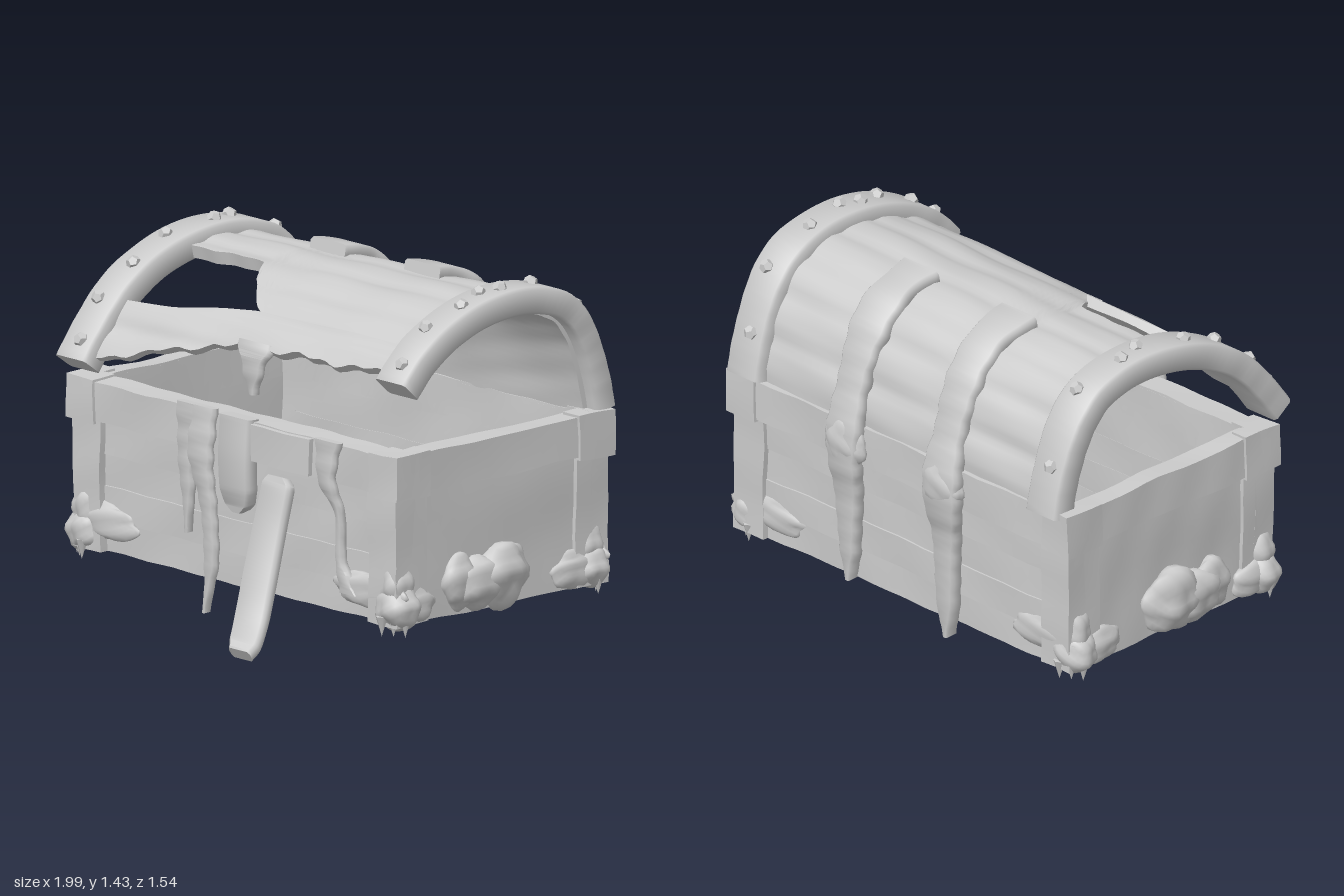
import * as THREE from 'three';
import { mergeVertices, toCreasedNormals } from 'three/addons/utils/BufferGeometryUtils.js';

const V = (x, y, z) => new THREE.Vector3(x, y, z);
const lerp = THREE.MathUtils.lerp;
const noise = (x, y, z) =>
  (Math.sin(11 * x + 5 * y + 3 * z) + Math.sin(23 * y - 9 * x + 1.7) + Math.sin(19 * z + 14 * x + 0.6)) / 3;

// piecewise-linear lookup in [[x, value], ...]
function interp(table, x) {
  for (let i = 1; i < table.length; i++) {
    const [a, va] = table[i - 1], [b, vb] = table[i];
    if (x <= b) return lerp(va, vb, THREE.MathUtils.clamp((x - a) / (b - a), 0, 1));
  }
  return table[table.length - 1][1];
}

// closed solid through matching cross-sections, capped at both ends
function loft(sections, crease = 0.6) {
  const n = sections[0].length, pts = sections.flat(), idx = [];
  const last = (sections.length - 1) * n;
  for (let i = 0; i < sections.length - 1; i++)
    for (let j = 0; j < n; j++) {
      const a = i * n + j, b = i * n + (j + 1) % n;
      idx.push(a, b, b + n, a, b + n, a + n);
    }
  for (let j = 0; j < n / 2 - 1; j++) {
    const q = [j, j + 1, n - 2 - j, n - 1 - j];
    idx.push(q[0], q[2], q[1], q[0], q[3], q[2]);
    idx.push(last + q[0], last + q[1], last + q[2], last + q[0], last + q[2], last + q[3]);
  }
  let volume = 0;
  const c = pts[0], w = V(0, 0, 0);
  for (let i = 0; i < idx.length; i += 3) {
    const [p, q, r] = [0, 1, 2].map(k => pts[idx[i + k]].clone().sub(c));
    volume += p.dot(w.crossVectors(q, r));
  }
  if (volume < 0) idx.reverse();
  const g = new THREE.BufferGeometry().setFromPoints(pts);
  g.setIndex(idx);
  return toCreasedNormals(g, crease);
}

// bevelled band along [x, y, z, halfWidth] points; outward is up-and-over from back to front
function ribbon(points, inner, outer, rough = 0, steps = 32) {
  const path = new THREE.CatmullRomCurve3(points.map(p => V(p[0], p[1], p[2])));
  const widths = points.map((q, k) => [k / (points.length - 1), q[3]]);
  const sections = [];
  for (let i = 0; i <= steps; i++) {
    const t = i / steps, p = path.getPoint(t), d = path.getTangent(t);
    const len = Math.hypot(d.y, d.z) || 1, ny = d.z / len, nz = -d.y / len;
    const hw = interp(widths, t) * (1 + rough * noise(p.x * 3, p.y * 3, p.z));
    const b = Math.min(0.012, hw * 0.5);
    sections.push([
      [-hw, outer - b], [-hw + b, outer], [hw - b, outer], [hw, outer - b],
      [hw, inner + b], [hw - b, inner], [-hw + b, inner], [-hw, inner + b],
    ].map(([u, v]) => V(p.x + u, p.y + ny * v, p.z + nz * v)));
  }
  return loft(sections, 0.9);
}

// box between two corners with a weathered surface
function wornBox(a, b, wear = 0.007) {
  const s = b.map((v, i) => v - a[i]);
  const g = new THREE.BoxGeometry(...s, ...s.map(v => Math.max(1, Math.round(v / 0.07))));
  g.translate((a[0] + b[0]) / 2, (a[1] + b[1]) / 2, (a[2] + b[2]) / 2);
  const p = g.attributes.position;
  for (let i = 0; i < p.count; i++) {
    const [x, y, z] = [p.getX(i), p.getY(i), p.getZ(i)];
    p.setXYZ(i, x + wear * noise(y, z, x), y + wear * noise(z, x, y), z + wear * noise(x, y, z));
  }
  g.computeVertexNormals();
  return g;
}

// encrusted lump
function lump(center, size, rough = 0.16) {
  let g = new THREE.IcosahedronGeometry(1, 4);
  g.deleteAttribute('normal');
  g.deleteAttribute('uv');
  g = mergeVertices(g);
  const p = g.attributes.position, v = V(0, 0, 0);
  for (let i = 0; i < p.count; i++) {
    v.fromBufferAttribute(p, i);
    v.multiplyScalar(1 + rough * noise(v.x * 0.32 + center[0], v.y * 0.32 + center[2], v.z * 0.32));
    p.setXYZ(i, center[0] + v.x * size[0], center[1] + v.y * size[1], center[2] + v.z * size[2]);
  }
  g.computeVertexNormals();
  return g;
}

// lid arch from back hinge to front lip, sagging slightly at one end
const arch = new THREE.CatmullRomCurve3([
  [-0.695, 0.86], [-0.665, 1.0], [-0.585, 1.2], [-0.485, 1.31], [-0.345, 1.36],
  [-0.165, 1.37], [0.035, 1.33], [0.235, 1.23], [0.375, 1.09], [0.48, 0.95]].map(([z, y]) => V(0, y, z)));
function lidPoint(s, x, off) {
  const p = arch.getPointAt(s), d = arch.getTangentAt(s);
  return V(x, p.y + d.z * off - 0.03 * (0.88 - x) / 1.75, p.z - d.y * off);
}

// planked piece of the lid between two edges
function lidShell(from, to, rows) {
  const sections = [], cols = 56;
  for (let i = 0; i <= cols; i++) {
    const x = lerp(-0.85, 0.87, i / cols), outer = [], inner = [];
    for (let j = 0; j <= rows; j++) {
      const s = Math.min(1, lerp(from(x), to(x), j / rows));
      const groove = 0.012 * Math.pow(Math.abs(Math.cos(s * 9 * Math.PI)), 6);
      const thick = interp([[0, 0.09], [0.35, 0.08], [0.55, 0.055], [0.8, 0.045], [1, 0.03]], s);
      outer.push(lidPoint(s, x, 0.006 * noise(x, s * 2, 1) - groove));
      inner.unshift(lidPoint(s, x, -thick + 0.005 * noise(x, s * 3, 2)));
    }
    sections.push([...outer, ...inner]);
  }
  return loft(sections, 0.7);
}

export function createModel() {
  const model = new THREE.Group();
  model.name = 'brokenChest';
  const chest = new THREE.Group();
  chest.name = 'turnedChest';
  chest.rotation.y = 0.04;
  model.add(chest);
  const wood = new THREE.MeshStandardMaterial({ color: 0xcccccc });
  wood.name = 'palegrey';
  const add = (name, g) => {
    const m = new THREE.Mesh(g, wood);
    m.name = name;
    chest.add(m);
  };

  // body: floor, front and back planks
  add('floor', wornBox([-0.88, 0.17, -0.655], [0.89, 0.22, 0.395], 0.004));
  for (let i = 0; i < 4; i++) {
    const y = 0.17 + i * 0.13, out = [0, 0.008, 0.002, 0.009][i], top = i === 3 ? 0.84 : y + 0.129;
    add('frontPlank', wornBox([-0.88, y, 0.33], [0.885, top, 0.398 + out], 0.006));
    add('backPlank', wornBox([-0.88, y, -0.664 - out], [0.885, top, -0.6], 0.006));
  }

  // rim band, end walls and corner plates
  add('frontRim', wornBox([-0.91, 0.69, 0.33], [0.92, 0.85, 0.437]));
  add('backRim', wornBox([-0.91, 0.69, -0.7], [0.92, 0.85, -0.6]));
  for (const sx of [-1, 1]) {
    const inset = sx < 0 ? 0.012 : 0;
    const span = (a, b) => [Math.min(sx * a, sx * (b - inset)), Math.max(sx * a, sx * (b - inset))];
    const [w0, w1] = span(0.83, 0.905), [r0, r1] = span(0.83, 0.93);
    add('endWall', wornBox([w0, 0.17, -0.66], [w1, 0.84, 0.4], 0.006));
    add('endRim', wornBox([r0, 0.69, -0.69], [r1, 0.85, 0.43]));
    const [c0, c1] = span(0.785, 0.942), [e0, e1] = span(0.85, 0.942);
    const [p0, p1] = span(0.76, 0.922), [q0, q1] = span(0.85, 0.922);
    for (const front of [true, false]) {
      const zA = front ? [0.33, 0.45] : [-0.712, -0.6], zB = front ? [0.27, 0.445] : [-0.71, -0.52];
      add('rimCornerCap', wornBox([c0, 0.68, zA[0]], [c1, 0.86, zA[1]]));
      add('rimCornerCap', wornBox([e0, 0.68, zB[0]], [e1, 0.86, zB[1]]));
      const wA = front ? [0.33, 0.435] : [-0.69, -0.6], wB = front ? [0.27, 0.43] : [-0.685, -0.52];
      add('cornerPost', wornBox([p0, 0.17, wA[0]], [p1, 0.7, wA[1]]));
      add('cornerPost', wornBox([q0, 0.17, wB[0]], [q1, 0.7, wB[1]]));
      // crusted feet with small drips
      const z = front ? 0.385 : -0.62;
      add('cornerCrust', lump([sx * 0.875, 0.24, z], [0.09, 0.09, 0.08]));
      add('cornerCrust', lump([sx * 0.87, 0.33, z], [0.065, 0.1, 0.065]));
      add('crustSpread', lump([sx * 0.75, 0.29, front ? 0.41 : -0.66], [0.18, 0.075, 0.03], 0.22));
      add('crustSpread', lump([sx * 0.905, 0.24, front ? 0.33 : -0.52], [0.035, 0.075, 0.11], 0.22));
      for (let k = 0; k < 3; k++) {
        const drip = new THREE.ConeGeometry(0.025, 0.08, 6).rotateX(Math.PI);
        add('crustDrip', drip.translate(sx * (0.93 - k * 0.04), 0.17, z + (front ? 1 : -1) * (0.01 + k * 0.025)));
      }
    }
    // barnacle patch on the end wall
    add('barnaclePatch', lump([sx * 0.905, 0.3, -0.13], [0.085, 0.13, 0.13], 0.2));
    add('barnaclePatch', lump([sx * 0.905, 0.28, -0.01], [0.07, 0.11, 0.13], 0.2));
    add('barnaclePatch', lump([sx * 0.9, 0.3, 0.09], [0.055, 0.11, 0.09], 0.22));
  }

  // lid: main shell with a hole towards the front, and the broken front plank
  const holeTop = [[-0.8, 0.59], [-0.32, 0.59], [-0.27, 0.65], [-0.18, 0.71], [-0.1, 0.76], [0.9, 0.76]];
  const holeLow = [[-0.8, 0.82], [-0.5, 0.805], [-0.28, 0.775], [-0.1, 0.76], [0.9, 0.76]];
  const lip = [[-0.8, 0.98], [-0.5, 0.935], [-0.2, 0.875], [0.1, 0.86], [0.9, 0.845]];
  const ragged = x => 0.006 * Math.sin(17 * x) + 0.005 * Math.sin(41 * x + 1);
  add('lidPlanks', lidShell(() => 0, x => interp(holeTop, x) + (x < -0.1 ? 0.5 * ragged(x) : 0), 44));
  add('lidFrontPlank', lidShell(x => interp(holeLow, x), x => interp(lip, x) + ragged(x), 12));

  // lid end straps with studs: [x, sideways lean, end, stud positions]
  const straps = [[-0.828, -0.04, 1, [0.12, 0.3, 0.42, 0.48, 0.61, 0.73, 0.84, 0.95]],
    [0.836, 0, 0.88, [0.11, 0.26, 0.39, 0.5, 0.55, 0.62, 0.72, 0.83]]];
  for (const [x, lean, end, studs] of straps) {
    const at = (s, dx, off) => {
      const p = lidPoint(s, x + dx, off);
      p.x += lean * p.z;
      return p;
    };
    const pts = Array.from({ length: 17 }, (_, i) => [...at(i / 16 * end, 0, 0).toArray(), 0.086]);
    add('lidEndStrap', ribbon(pts, -0.065, 0.043, 0.04, 48));
    studs.forEach((s, i) => {
      const p = at(s, i % 2 ? 0.015 : -0.015, 0.045);
      const g = new THREE.DodecahedronGeometry(0.03).rotateX(i).rotateZ(i * 1.7);
      add('strapStud', g.translate(p.x, p.y, p.z));
    });
  }

  // hinge straps hanging down the back
  for (const [x, tip] of [[-0.25, 0.11], [0.285, 0.17]]) {
    const low = [[x, tip, -0.68, 0.012], [x, tip + 0.12, -0.685, 0.045], [x, 0.42, -0.69, 0.05],
      [x, 0.56, -0.695, 0.065], [x, 0.68, -0.715, 0.085], [x, 0.82, -0.715, 0.085]];
    const high = [0.08, 0.16, 0.24, 0.32, 0.38, 0.43].map((s, i) => {
      const p = lidPoint(s, x, 0.005);
      return [p.x, p.y, p.z, 0.075 + i * 0.005];
    });
    add('hingeStrap', ribbon([...low, ...high], -0.03, 0.032, 0.15, 60));
    add('hingeKnot', lump([x, 0.77, -0.715], [0.1, 0.1, 0.045]));
  }

  // front clasp plate and the loose strap below it
  add('claspPlate', ribbon([[0.03, 0.86, 0.44, 0.088], [0.03, 0.7, 0.45, 0.088], [0.03, 0.57, 0.445, 0.085],
    [0.03, 0.51, 0.435, 0.065], [0.03, 0.48, 0.43, 0.03]], -0.04, 0.025));
  add('rimBar', wornBox([0.12, 0.695, 0.4], [0.45, 0.845, 0.458], 0.005));
  add('looseStrap', ribbon([[0.265, 0.66, 0.44, 0.05], [0.27, 0.63, 0.45, 0.08], [0.27, 0.48, 0.492, 0.082],
    [0.29, 0.3, 0.562, 0.085], [0.325, 0.14, 0.642, 0.085], [0.372, 0.06, 0.722, 0.08], [0.397, 0.03, 0.77, 0.06]], -0.025, 0.025));

  // seaweed rags on the front and on the lid lip
  const rags = [
    [[-0.22, 0.87, 0.45, 0.08], [-0.24, 0.7, 0.46, 0.05], [-0.235, 0.5, 0.455, 0.03], [-0.24, 0.35, 0.45, 0.008]],
    [[-0.14, 0.87, 0.45, 0.06], [-0.15, 0.68, 0.47, 0.065], [-0.11, 0.48, 0.465, 0.05], [-0.1, 0.25, 0.46, 0.035], [-0.13, 0.05, 0.46, 0.008]],
    [[0.555, 0.86, 0.45, 0.06], [0.555, 0.7, 0.46, 0.045], [0.6, 0.58, 0.435, 0.02], [0.6, 0.38, 0.425, 0.022], [0.65, 0.26, 0.425, 0.05]],
    [[0.01, 1.13, 0.32, 0.1], [0.02, 1.07, 0.345, 0.07], [0.02, 1.0, 0.35, 0.045], [0.025, 0.93, 0.35, 0.015]],
  ];
  for (const r of rags) add('seaweedRag', ribbon(r, -0.02, 0.018, 0.25));
  return model;
}
